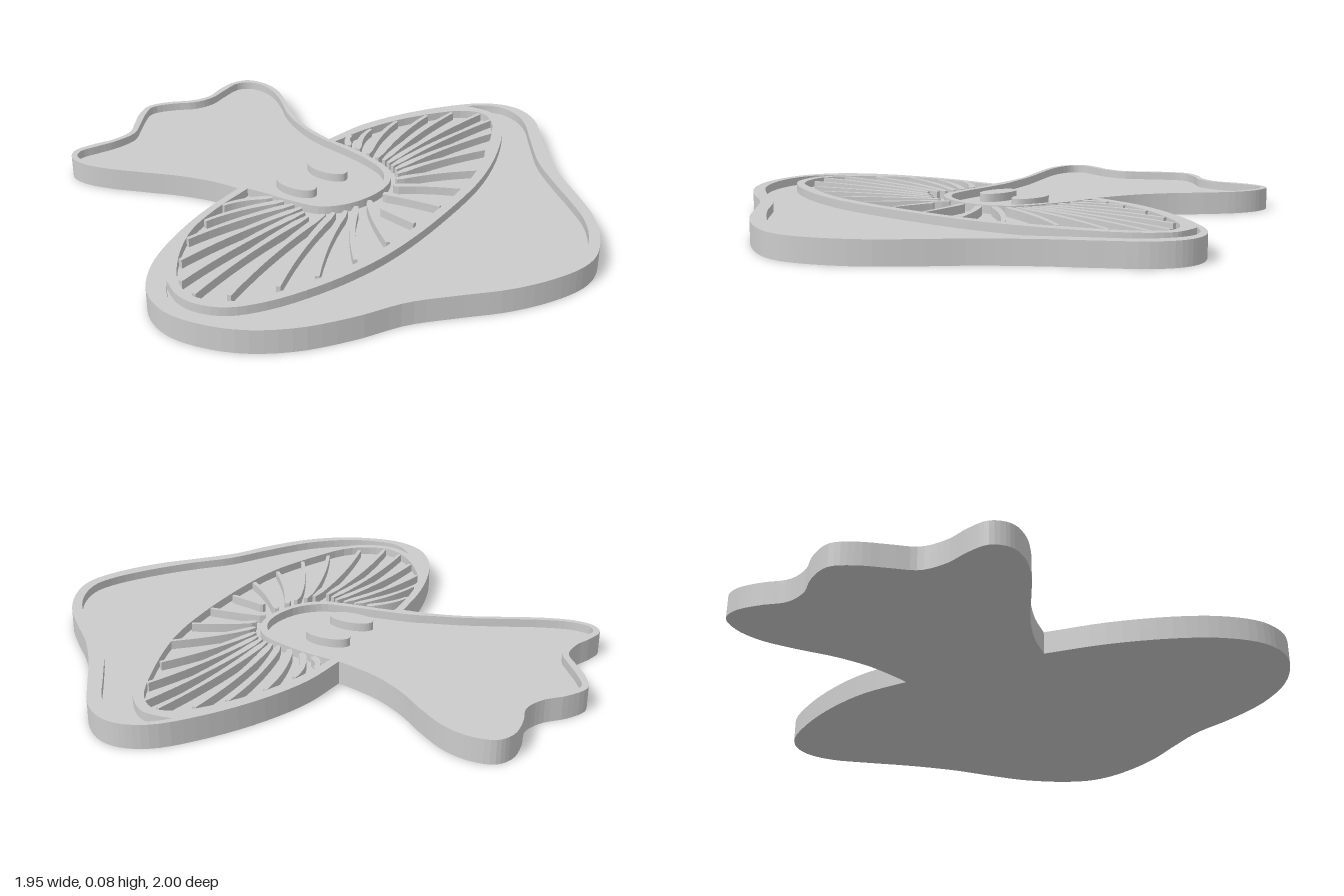
import * as THREE from 'three';

const FLOOR = 0.05, TOP = 0.08, U = 189;

// plan drawing units -> shape coordinates (x right, y = -z)
const P = (x, y) => new THREE.Vector2((x - 1134) / U, (225 - y) / U);

// one run makes a smooth closed loop; several runs join with a corner where they meet
function outline(...runs) {
  const out = [], closed = runs.length === 1;
  for (const run of runs) {
    const pts = [];
    for (let i = 0; i < run.length; i += 2) {
      const p = P(run[i], run[i + 1]);
      pts.push(new THREE.Vector3(p.x, p.y, 0));
    }
    const curve = new THREE.CatmullRomCurve3(pts, closed);
    for (const p of curve.getPoints(pts.length * 4)) {
      const q = new THREE.Vector2(p.x, p.y);
      if (!out.length || out[out.length - 1].distanceTo(q) > 1e-4) out.push(q);
    }
  }
  if (out[0].distanceTo(out[out.length - 1]) < 1e-4) out.pop();
  return out.reverse(); // counter-clockwise
}

// upright slab from a plan shape
function slab(name, shape, y0, y1, material) {
  const g = new THREE.ExtrudeGeometry(shape, { depth: y1 - y0, bevelEnabled: false, curveSegments: 24 });
  g.rotateX(-Math.PI / 2);
  g.translate(0, y0, 0);
  const mesh = new THREE.Mesh(g, material);
  mesh.name = name;
  return mesh;
}

// curved rib, thicker at the stem, arched toward the back
function ribShape(x0, y0, x1, y1) {
  const curve = new THREE.QuadraticBezierCurve(
    P(x0, y0), P((x0 + x1) / 2, (y0 + y1) / 2 - 6), P(x1, y1));
  const a = [], b = [], n = 10;
  for (let i = 0; i <= n; i++) {
    const t = i / n, p = curve.getPoint(t), d = curve.getTangent(t);
    const w = (2.5 - 1.2 * t) / U * (i === 0 ? 0.5 : 1);
    a.push(new THREE.Vector2(p.x - d.y * w, p.y + d.x * w));
    b.unshift(new THREE.Vector2(p.x + d.y * w, p.y - d.x * w));
  }
  return new THREE.Shape([...a, ...b]);
}

export function createModel() {
  const model = new THREE.Group();
  model.name = 'mushroomPlaque';
  const grey = new THREE.MeshStandardMaterial({ color: 0xcccccc });
  grey.name = 'plain grey';

  // full silhouette: flared stem end, then cap
  const silhouette = outline(
    [1081, 189, 1077, 170, 1068, 147, 1054, 122, 1042, 100, 1036, 82, 1037, 68, 1046, 60,
      1060, 61, 1075, 65, 1092, 64, 1105, 54, 1120, 42, 1134, 36, 1150, 42, 1163, 52, 1178, 56,
      1195, 51, 1212, 49, 1223, 54, 1227, 68, 1224, 85, 1213, 105, 1198, 127, 1187, 150,
      1182, 170, 1180, 181],
    [1180, 181, 1215, 182, 1250, 191, 1285, 207, 1309, 224, 1318, 240, 1318, 255, 1309, 272,
      1290, 290, 1265, 312, 1240, 338, 1222, 362, 1203, 385, 1180, 403, 1160, 412, 1143, 413,
      1120, 407, 1095, 395, 1070, 377, 1045, 360, 1015, 348, 985, 331, 963, 308, 951, 280,
      950, 262, 957, 243, 975, 225, 1000, 211, 1040, 197, 1081, 189]);

  // recessed areas inside the raised rim
  const stemRecess = outline(
    [1134, 40, 1150, 47, 1163, 57, 1178, 60, 1195, 56, 1212, 53, 1220, 58, 1223, 68, 1220, 84,
      1210, 103, 1195, 125, 1184, 149, 1178, 172, 1176, 195, 1173, 220, 1166, 242, 1153, 254,
      1135, 258, 1115, 254, 1102, 243, 1096, 225, 1092, 205, 1086, 180, 1081, 168, 1072, 147,
      1058, 121, 1046, 99, 1040, 82, 1041, 69, 1048, 64, 1060, 66, 1075, 69, 1093, 68,
      1107, 58, 1121, 47]);
  const gillRecess = outline(
    [1085, 194, 1050, 200, 1020, 210, 990, 232, 974, 252, 971, 268, 985, 290, 1020, 303,
      1060, 311, 1095, 311, 1150, 305, 1200, 294, 1250, 272, 1285, 250, 1293, 235, 1285, 220,
      1250, 200, 1215, 190, 1180, 187],
    [1180, 187, 1180, 200, 1177, 222, 1170, 245, 1155, 258, 1135, 262, 1113, 258, 1098, 247,
      1091, 225, 1088, 207, 1085, 194]);
  const capRecess = outline(
    [1297, 219, 1307, 228, 1312, 240, 1309, 255, 1299, 270, 1275, 291, 1248, 315, 1228, 340,
      1212, 362, 1195, 383, 1175, 398, 1155, 405, 1135, 402, 1105, 389, 1080, 374, 1055, 356,
      1025, 343, 990, 325, 968, 303, 958, 280, 958, 262, 972, 243],
    [972, 243, 966, 258, 966, 272, 975, 289, 995, 302, 1030, 313, 1065, 318, 1095, 318,
      1140, 313, 1200, 301, 1250, 281, 1285, 259, 1299, 240, 1299, 228, 1297, 219]);

  model.add(slab('basePlate', new THREE.Shape(silhouette), 0, FLOOR, grey));
  const rim = new THREE.Shape(silhouette);
  rim.holes = [stemRecess, gillRecess, capRecess].map(pts => new THREE.Path(pts));
  model.add(slab('raisedRim', rim, FLOOR, TOP, grey));

  // gills fanning out around the stem
  const gills = new THREE.Group();
  gills.name = 'gills';
  const ribs = [
    [1087, 215, 1058, 199], [1088, 224, 1036, 206], [1089, 232, 1013, 215], [1089, 239, 993, 231],
    [1086, 244, 977, 249], [1083, 250, 973, 265], [1092, 256, 985, 281], [1098, 259, 1010, 295],
    [1105, 263, 1033, 304], [1114, 264, 1062, 308], [1126, 265, 1091, 309], [1124, 277, 1121, 306],
    [1140, 265, 1150, 304], [1153, 263, 1179, 298], [1162, 258, 1210, 291], [1169, 253, 1240, 275],
    [1174, 248, 1268, 262], [1176, 243, 1288, 248], [1178, 238, 1291, 235], [1179, 233, 1279, 218],
    [1179, 227, 1262, 207], [1180, 218, 1238, 197], [1181, 208, 1214, 192], [1182, 199, 1196, 189]];
  for (const r of ribs) gills.add(slab('gill', ribShape(...r), FLOOR, TOP, grey));
  model.add(gills);

  // oval eyes
  for (const [name, x, y] of [['rightEye', 1113, 212], ['leftEye', 1145, 211]]) {
    const c = P(x, y), oval = new THREE.Shape();
    oval.absellipse(c.x, c.y, 8.5 / U, 16 / U, 0, Math.PI * 2, false, 0.07);
    model.add(slab(name, oval, FLOOR, TOP, grey));
  }
  return model;
}
